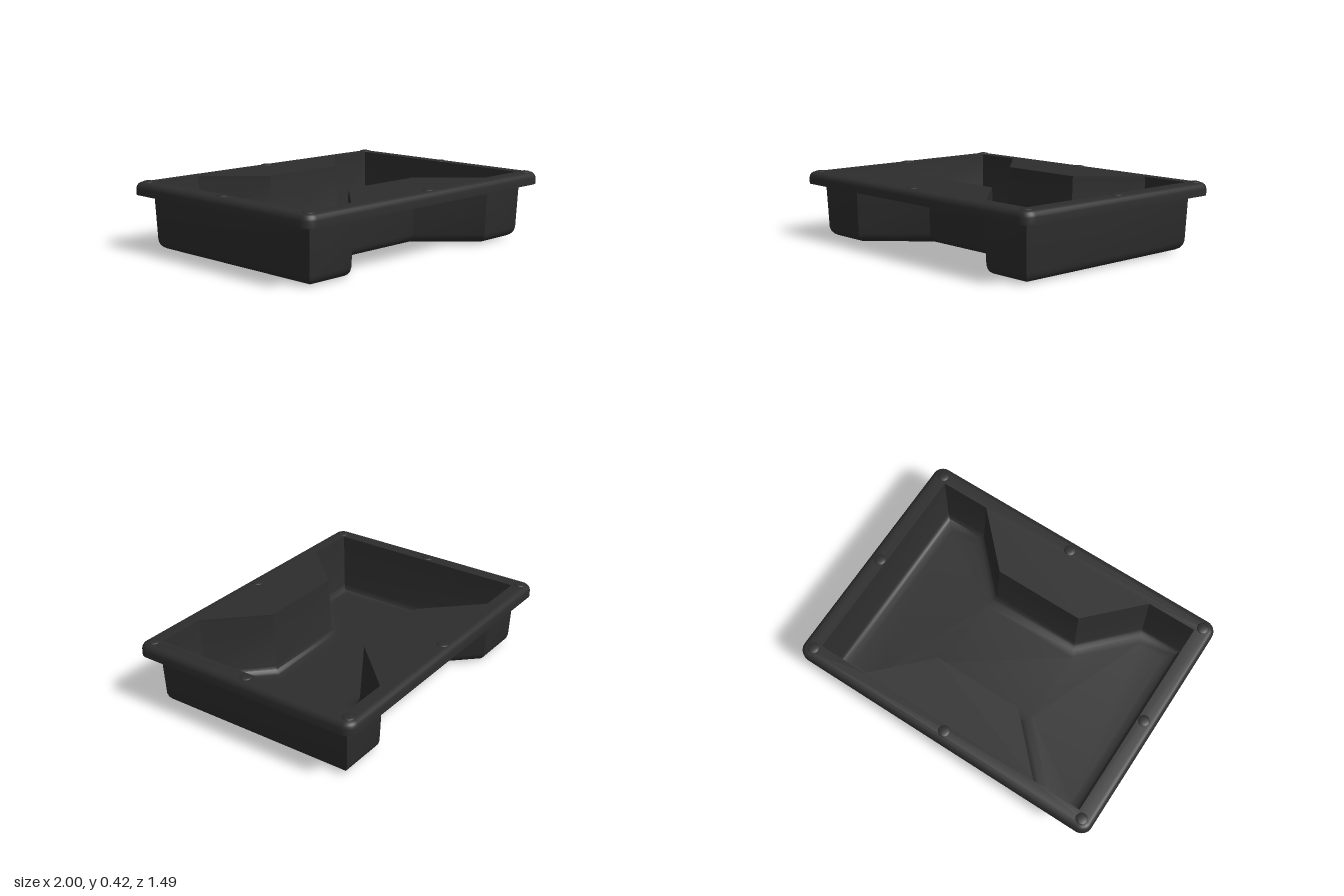
import * as THREE from 'three';
import { mergeGeometries, toCreasedNormals } from 'three/addons/utils/BufferGeometryUtils.js';

const X = 0.893, Z = 0.643, NOTCH = 0.33;

// Waisted tray outline, moved inwards by an inset with mitred corners
function trayLoop(inset) {
  const half = [[X, -Z], [X, Z], [0.585, Z], [0.28, NOTCH], [-0.28, NOTCH], [-0.585, Z]];
  const p = [...half, ...half.map(([x, z]) => [-x, -z])];
  const normal = (a, b) => {
    const l = Math.hypot(b[0] - a[0], b[1] - a[1]);
    return [(a[1] - b[1]) / l, (b[0] - a[0]) / l];
  };
  return p.map((c, i) => {
    const m = normal(p[(i + p.length - 1) % p.length], c);
    const n = normal(c, p[(i + 1) % p.length]);
    const k = inset / (1 + m[0] * n[0] + m[1] * n[1]);
    return [c[0] + k * (m[0] + n[0]), c[1] + k * (m[1] + n[1])];
  });
}

// Rounded rectangle for the rim
function rimLoop(inset) {
  const r = 0.065 - inset, cx = 1 - 0.065, cz = 0.745 - 0.065, pts = [];
  [[1, 1], [-1, 1], [-1, -1], [1, -1]].forEach(([sx, sz], q) => {
    for (let i = 0; i <= 8; i++) {
      const a = (q + i / 8) * Math.PI / 2;
      pts.push([sx * cx + r * Math.cos(a), sz * cz + r * Math.sin(a)]);
    }
  });
  return pts;
}

// Skin between loops; each profile row is [inset, height]
function loft(loop, profile) {
  const rows = profile.map(([inset, y]) => loop(inset).map(([x, z]) => [x, y, -z]));
  const pos = [];
  for (let i = 0; i < rows.length - 1; i++) {
    const lo = rows[i], hi = rows[i + 1];
    lo.forEach((a, j) => {
      const k = (j + 1) % lo.length;
      pos.push(...a, ...lo[k], ...hi[k], ...a, ...hi[k], ...hi[j]);
    });
  }
  const g = new THREE.BufferGeometry();
  g.setAttribute('position', new THREE.Float32BufferAttribute(pos, 3));
  return g;
}

// Flat horizontal face, optionally with a hole
function plate(outline, hole, y, up) {
  const vec = (loop) => loop.map(([x, z]) => new THREE.Vector2(x, z));
  const shape = new THREE.Shape(vec(outline));
  if (hole) shape.holes.push(new THREE.Path(vec(hole)));
  const g = new THREE.ShapeGeometry(shape).toNonIndexed();
  g.deleteAttribute('uv');
  g.deleteAttribute('normal');
  g.rotateX(up ? -Math.PI / 2 : Math.PI / 2);
  g.translate(0, y, 0);
  return g;
}

export function createModel() {
  const group = new THREE.Group();
  const plastic = new THREE.MeshStandardMaterial({ color: 0x2d2d2d });
  plastic.name = 'charcoal plastic';

  const add = (name, parts) => {
    const g = toCreasedNormals(mergeGeometries(parts), 0.65);
    const mesh = new THREE.Mesh(g, plastic);
    mesh.name = name;
    group.add(mesh);
  };

  // Outer shell with a rounded bottom edge
  add('outerShell', [
    loft(trayLoop, [[0.1, 0], [0.055, 0.003], [0.035, 0.008], [0.018, 0.018],
      [0.005, 0.035], [-0.002, 0.06], [-0.015, 0.39]]),
    plate(trayLoop(0.1), null, 0, false),
  ]);

  // Inner walls and floor
  add('innerBasin', [
    loft(trayLoop, [[0, 0.41], [0.02, 0.065], [0.026, 0.045], [0.038, 0.031],
      [0.055, 0.023], [0.1, 0.02]]),
    plate(trayLoop(0.1), null, 0.02, true),
  ]);

  // Rim with a turned-down lip
  add('rim', [
    loft(rimLoop, [[0.018, 0.39], [0.018, 0.337], [0, 0.337], [0, 0.375],
      [0.003, 0.388], [0.01, 0.399], [0.02, 0.407], [0.035, 0.41]]),
    plate(rimLoop(0.035), trayLoop(0), 0.41, true),
    plate(rimLoop(0.018), trayLoop(-0.015), 0.39, false),
  ]);

  // Low locating bumps around the rim
  const dome = new THREE.SphereGeometry(0.035, 20, 6, 0, Math.PI * 2, 0, Math.PI / 2);
  dome.scale(1, 0.009 / 0.035, 1);
  for (const x of [-0.93, 0, 0.93]) {
    for (const z of [-0.68, 0, 0.68]) {
      if (x === 0 && z === 0) continue;
      const bump = new THREE.Mesh(dome, plastic);
      bump.name = 'rimBump';
      bump.position.set(x, 0.409, z);
      group.add(bump);
    }
  }
  return group;
}
